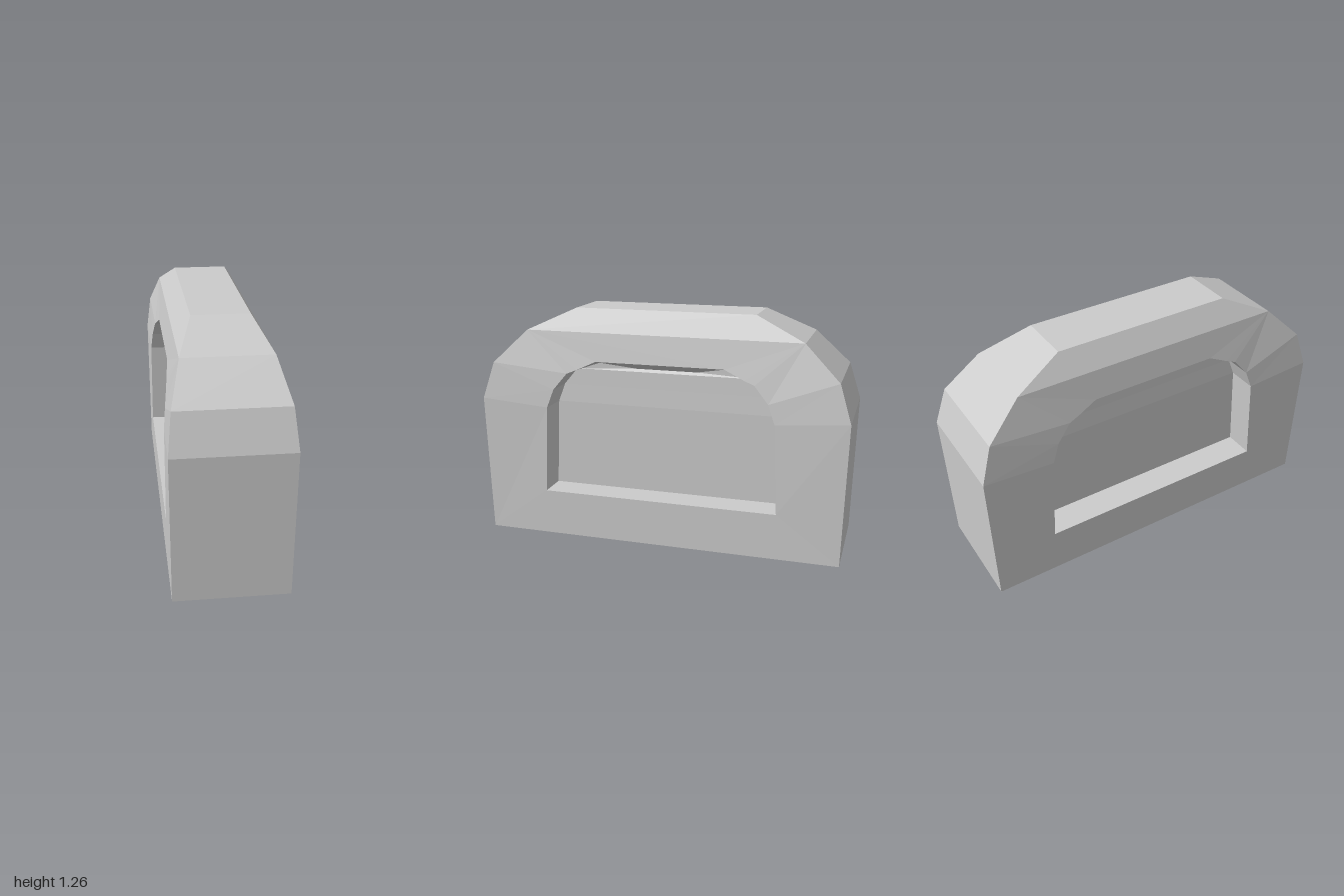
import * as THREE from 'three';

// Body sections from base to crown: half width x, height y, half length z
const SECTIONS = [
  [0.288, 0, 0.98], [0.295, 0.76, 1], [0.275, 0.96, 0.937], [0.222, 1.14, 0.752], [0.145, 1.26, 0.49],
];
// Recess rim, front half, from lower corner to top
const RIM = [
  [0.29, 0.25, 0.645], [0.289, 0.73, 0.622], [0.28, 0.83, 0.585], [0.267, 0.92, 0.51],
  [0.262, 0.942, 0.455], [0.25, 0.99, 0.35], [0.25, 0.99, 0.35],
];
// Matching outline of the recess floor
const FLOOR = [
  [0.128, 0.25, 0.645], [0.128, 0.73, 0.622], [0.122, 0.83, 0.585], [0.118, 0.92, 0.51],
  [0.116, 0.942, 0.455], [0.112, 0.975, 0.33], [0.107, 0.935, 0.17],
];

const flipZ = ([x, y, z]) => [x, y, -z];
const flipX = ([x, y, z]) => [-x, y, z];
const fullLoop = (half) => [...half, ...half.map(flipZ).reverse()];

// Collects convex polygons (counter-clockwise from outside) into a flat-shaded mesh
function faceMesh(name, material, build) {
  const positions = [];
  build((...points) => {
    for (let i = 1; i < points.length - 1; i++) {
      const t = new THREE.Triangle(...[points[0], points[i], points[i + 1]].map((p) => new THREE.Vector3(...p)));
      if (t.getArea() > 1e-8) positions.push(...points[0], ...points[i], ...points[i + 1]);
    }
  });
  const geometry = new THREE.BufferGeometry();
  geometry.setAttribute('position', new THREE.Float32BufferAttribute(positions, 3));
  geometry.computeVertexNormals();
  const mesh = new THREE.Mesh(geometry, material);
  mesh.name = name;
  return mesh;
}

// Joins an outer and an inner closed loop with quads
function bridge(face, outer, inner) {
  outer.forEach((a, i) => {
    const j = (i + 1) % outer.length;
    face(a, inner[i], inner[j], outer[j]);
  });
}

export function createModel() {
  const group = new THREE.Group();
  group.name = 'recessedBlock';
  const material = new THREE.MeshStandardMaterial({ color: 0xcccccc, flatShading: true });

  // Faceted front and back, flat base and crown
  group.add(faceMesh('bodyShell', material, (face) => {
    for (let i = 0; i < 4; i++) {
      const a = SECTIONS[i], b = SECTIONS[i + 1];
      const front = [flipX(a), a, b, flipX(b)];
      face(...front);
      face(...front.map(flipZ).reverse());
    }
    const base = SECTIONS[0], crown = SECTIONS[4];
    const cap = (p) => [flipX(p), p, flipZ(p), flipZ(flipX(p))];
    face(...cap(crown));
    face(...cap(base).reverse());
  }));

  for (const [label, side] of [['left', 1], ['right', -1]]) {
    // Mirrored faces swap their corner order
    const sided = (face) => (...points) =>
      side > 0 ? face(...points) : face(...points.map(flipX).reverse());
    const outer = fullLoop([0, 1, 2, 3, 3, 3, 3].map((i) => SECTIONS[i]));

    // Side frame around the opening, with the sloping shoulder above
    group.add(faceMesh(label + 'SideFrame', material, (raw) => {
      const face = sided(raw);
      bridge(face, outer, fullLoop(RIM));
      const a = SECTIONS[3], b = SECTIONS[4];
      face(a, flipZ(a), flipZ(b), b);
    }));

    // Recess walls and angled ceiling
    group.add(faceMesh(label + 'RecessWalls', material, (raw) =>
      bridge(sided(raw), fullLoop(RIM), fullLoop(FLOOR))));

    // Recess floor in horizontal bands, notched at the top
    group.add(faceMesh(label + 'RecessFloor', material, (raw) => {
      const face = sided(raw);
      const top = FLOOR[6];
      for (const [i, j] of [[0, 1], [1, 2], [2, 3], [3, 6]]) {
        face(FLOOR[i], flipZ(FLOOR[i]), flipZ(FLOOR[j]), FLOOR[j]);
      }
      for (const i of [3, 4]) {
        const corner = [FLOOR[i], top, FLOOR[i + 1]];
        face(...corner);
        face(...corner.map(flipZ).reverse());
      }
    }));
  }
  return group;
}
